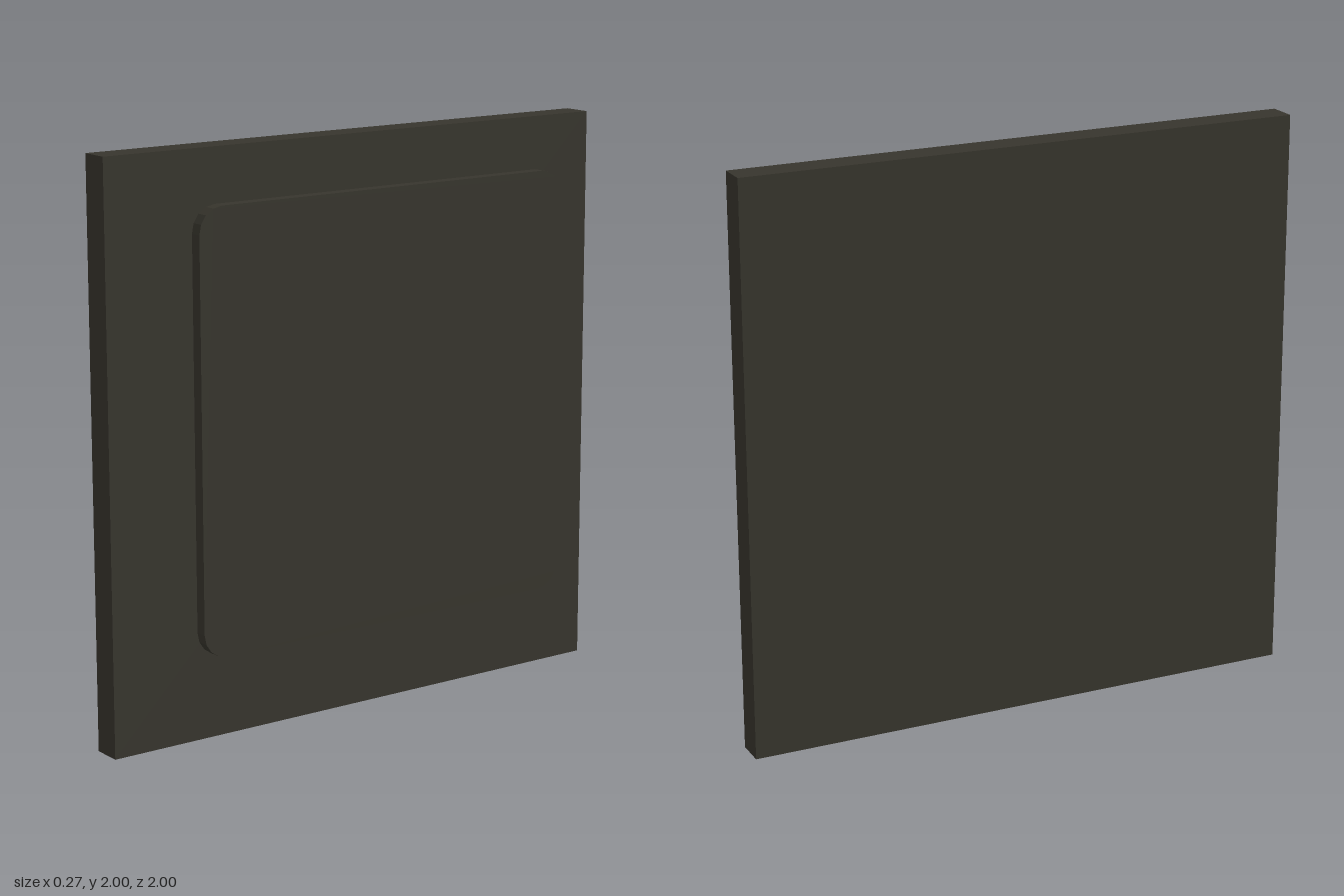
import * as THREE from 'three';

// Rounded square outline centred on the origin
function roundedSquare(half, r) {
  const s = new THREE.Shape();
  const c = half - r;
  s.absarc(c, c, r, 0, Math.PI / 2);
  s.absarc(-c, c, r, Math.PI / 2, Math.PI);
  s.absarc(-c, -c, r, Math.PI, Math.PI * 1.5);
  s.absarc(c, -c, r, Math.PI * 1.5, Math.PI * 2);
  return s;
}

export function createModel() {
  const group = new THREE.Group();
  group.name = 'wallPanel';
  const darkOlive = new THREE.MeshStandardMaterial({ color: 0x37352d });
  darkOlive.name = 'darkOlive';

  // Square backing slab
  const slab = new THREE.Mesh(new THREE.BoxGeometry(0.105, 2, 2), darkOlive);
  slab.name = 'backingSlab';
  slab.position.set(-0.083, 1, 0);
  group.add(slab);

  // Thin plate with rounded corners, floating off the slab on the +x side
  const geo = new THREE.ExtrudeGeometry(roundedSquare(0.75, 0.088), {
    depth: 0.043, bevelEnabled: false, curveSegments: 2,
  });
  geo.rotateY(Math.PI / 2);
  const plate = new THREE.Mesh(geo, darkOlive);
  plate.name = 'facePlate';
  plate.position.set(0.0925, 1.085, 0);
  group.add(plate);

  return group;
}
